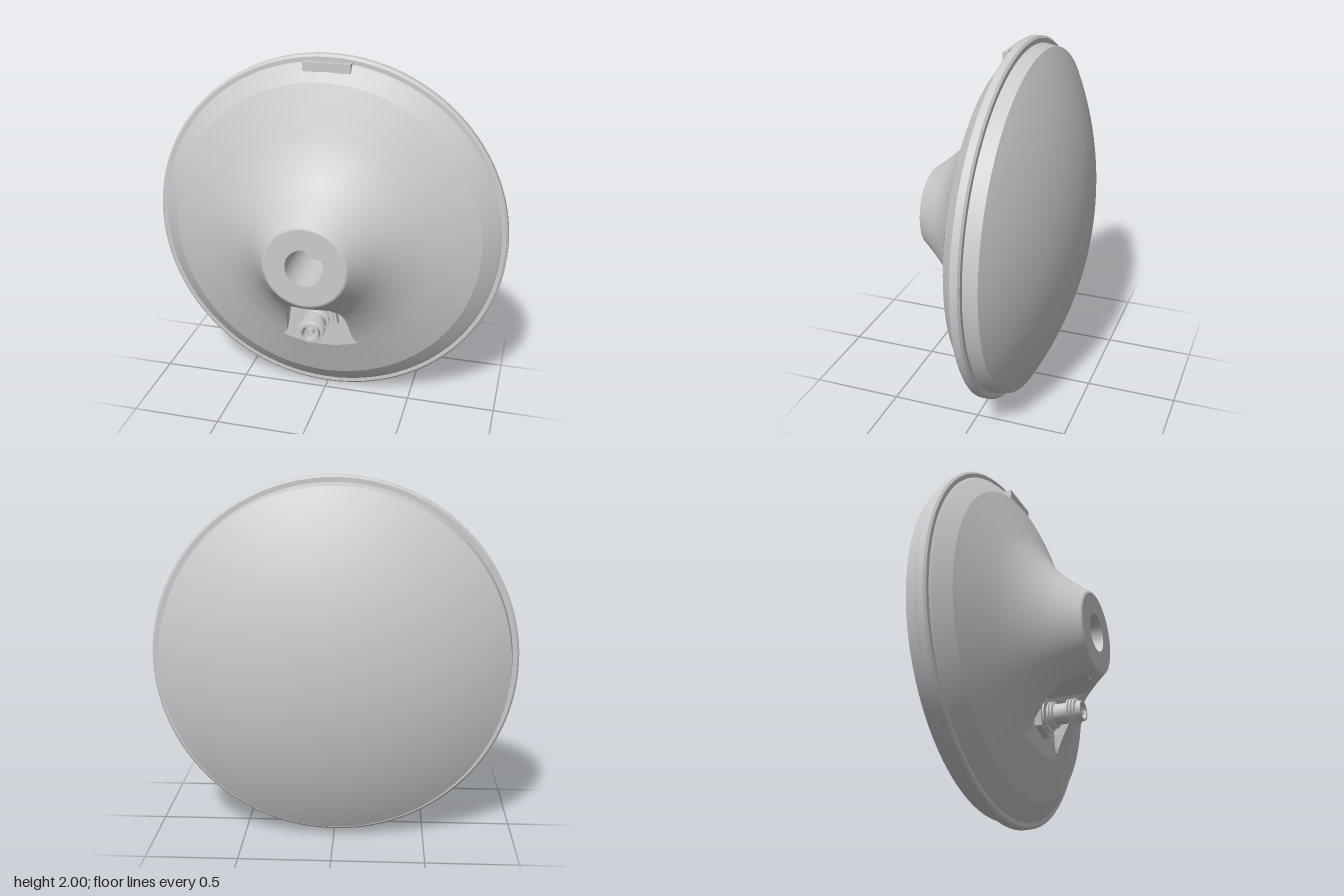
import * as THREE from 'three';
import { toCreasedNormals } from 'three/addons/utils/BufferGeometryUtils.js';

const SEG = 96;
const material = new THREE.MeshStandardMaterial({ color: 0xcccccc, side: THREE.DoubleSide });
const vec = ([x, y]) => new THREE.Vector2(x, y);

// Profile of [radius, z] pairs, listed back to front, turned about the z axis.
// Angle 0 points straight down.
function turned(points, segments = SEG, start = 0, sweep = Math.PI * 2) {
  return new THREE.LatheGeometry(points.map(vec), segments, start, sweep).rotateX(Math.PI / 2);
}

function add(group, name, geometry, x = 0, y = 0, z = 0) {
  const mesh = new THREE.Mesh(geometry, material);
  mesh.name = name;
  mesh.position.set(x, y, z);
  group.add(mesh);
  return mesh;
}

// Half of the pocket outline as [radius, half angle], from arch top to flared foot
const FLOOR_Z = 0.11;
const POCKET = [[0, 0.26], [0.06, 0.265], [0.11, 0.29], [0.15, 0.34], [0.17, 0.4],
  [0.18, 0.48], [0.19, 0.55], [0.2, 0.58], [0.222, 0.6]]
  .map(([x, d]) => [Math.hypot(x, d), Math.atan2(x, d)]);

function pocketAngle(r) {
  if (r <= POCKET[0][0]) return 0;
  for (let i = 1; i < POCKET.length; i++) {
    const [r0, a0] = POCKET[i - 1], [r1, a1] = POCKET[i];
    if (r <= r1) return a0 + (a1 - a0) * (r - r0) / (r1 - r0);
  }
  return POCKET[POCKET.length - 1][1];
}

// Flared neck, its rows squeezed around the body so that the pocket stays open
function neckGeometry(rows) {
  const geometry = new THREE.LatheGeometry(rows.map(vec), SEG);
  const { position, normal } = geometry.attributes;
  for (let i = 0; i < position.count; i++) {
    const column = Math.floor(i / rows.length);
    const r = rows[i % rows.length][0];
    const phi = column / SEG * Math.PI * 2;
    const a = pocketAngle(r);
    const angle = a + phi * (1 - a / Math.PI);
    const n = Math.hypot(normal.getX(i), normal.getZ(i));
    position.setXYZ(i, r * Math.sin(angle), position.getY(i), r * Math.cos(angle));
    normal.setXYZ(i, n * Math.sin(angle), normal.getY(i), n * Math.cos(angle));
  }
  return geometry.rotateX(Math.PI / 2);
}

function addPocket(group, rows) {
  const inner = rows.filter(([r]) => r > POCKET[0][0]).reverse();
  const right = inner.map(([r, z]) => {
    const a = pocketAngle(r);
    return [r * Math.sin(a), -r * Math.cos(a), z];
  });
  const left = right.map(([x, y, z]) => [-x, y, z]).reverse();
  const arch = [...left, [0, -POCKET[0][0], right[0][2]], ...right];

  // Wall between the cut edge of the shell and the floor
  const positions = [], index = [];
  arch.forEach(([x, y, z], i) => {
    positions.push(x, y, FLOOR_Z, x, y, z);
    if (i) index.push(2 * i - 2, 2 * i, 2 * i - 1, 2 * i - 1, 2 * i, 2 * i + 1);
  });
  const wall = new THREE.BufferGeometry();
  wall.setAttribute('position', new THREE.Float32BufferAttribute(positions, 3));
  wall.setIndex(index);
  wall.computeVertexNormals();
  add(group, 'pocketWall', wall);

  // Flat floor, closed by an arc where it runs out through the cone
  const outline = arch.map(vec);
  const [r0] = rows[0], a0 = pocketAngle(r0);
  for (let i = 1; i < 12; i++) {
    const a = a0 * (1 - i / 6);
    outline.push(new THREE.Vector2(r0 * Math.sin(a), -r0 * Math.cos(a)));
  }
  add(group, 'pocketFloor', new THREE.ShapeGeometry(new THREE.Shape(outline.reverse())), 0, 0, FLOOR_Z);
}

function createConnector() {
  const group = new THREE.Group();
  group.name = 'connector';
  const nut = new THREE.CylinderGeometry(0.118, 0.118, 0.04, 6).rotateX(Math.PI / 2).rotateZ(0.2);
  add(group, 'hexNut', toCreasedNormals(nut, 0.5), 0, 0, 0.02);
  add(group, 'washer', toCreasedNormals(turned([[0.09, 0.03], [0.09, 0.05], [0, 0.05]], 32), 0.5));

  // Barrel with two threaded bands and a hollow mouth
  const profile = [[0.055, 0.04]];
  const thread = (from, count) => {
    for (let i = 0; i < count; i++) {
      const z = from + i * 0.018;
      profile.push([0.058, z], [0.072, z + 0.004], [0.072, z + 0.012], [0.058, z + 0.016]);
    }
  };
  thread(0.055, 2);
  profile.push([0.055, 0.092], [0.055, 0.158]);
  thread(0.16, 3);
  profile.push([0.055, 0.215], [0.055, 0.24], [0.042, 0.24], [0.042, 0.15], [0, 0.15]);
  add(group, 'threadedBarrel', toCreasedNormals(turned(profile, 32), 0.5));
  add(group, 'contactSleeve', toCreasedNormals(
    turned([[0.022, 0.15], [0.022, 0.23], [0.01, 0.23], [0.01, 0.16], [0, 0.16]], 24), 0.5));
  return group;
}

function createTab() {
  const group = new THREE.Group();
  group.name = 'topTab';
  const rect = (Type, w, h) => new Type([[-w, -h], [w, -h], [w, h], [-w, h]].map(vec));
  const frame = rect(THREE.Shape, 0.13, 0.026);
  frame.holes.push(rect(THREE.Path, 0.11, 0.008));
  const geometry = new THREE.ExtrudeGeometry(frame, { depth: 0.05, bevelEnabled: false });
  add(group, 'slottedFrame', geometry.rotateX(-Math.PI / 2));
  add(group, 'slotFloor', new THREE.BoxGeometry(0.24, 0.03, 0.03), 0, 0.015, 0);
  return group;
}

export function createModel() {
  const model = new THREE.Group();
  model.name = 'dishAntenna';
  const body = new THREE.Group();
  body.name = 'body';
  body.position.y = 1;
  model.add(body);

  // Shallow spherical dome at the back
  const R = 1.964, edge = Math.asin(0.95 / R), dome = [];
  for (let i = 0; i <= 24; i++) {
    const a = edge * i / 24;
    dome.push([R * Math.sin(a), -0.435 + R * (1 - Math.cos(a))]);
  }
  add(body, 'dome', turned(dome));
  add(body, 'domeSkirt', turned([[0.95, -0.19], [0.963, -0.115]]));

  // Rim band with chamfered edges
  const rim = turned([[0.955, -0.116], [0.988, -0.116], [1, -0.106], [1, -0.068], [0.988, -0.058], [0.95, -0.058]]);
  add(body, 'rimBand', toCreasedNormals(rim, 0.4));

  // Front shell: chamfer, cone and flared neck
  add(body, 'frontChamfer', turned([[0.965, -0.058], [0.95, -0.042], [0.87, 0.02]]));
  add(body, 'frontCone', turned([[0.87, 0.02], [0.755, 0.065], [0.64, 0.11]]));
  const curve = new THREE.SplineCurve([[0.64, 0.11], [0.57, 0.14], [0.5, 0.177], [0.43, 0.222],
    [0.36, 0.28], [0.3, 0.345], [0.255, 0.4], [0.232, 0.43]].map(vec));
  const rows = curve.getSpacedPoints(70).map((p) => [p.x, p.y]);
  add(body, 'neck', neckGeometry(rows));
  addPocket(body, rows);

  // Rounded lip, end face and mounting bore
  add(body, 'neckLip', turned([[0.232, 0.43], [0.228, 0.435], [0.218, 0.438]]));
  add(body, 'neckFace', turned([[0.218, 0.438], [0.105, 0.438]]));
  add(body, 'bore', toCreasedNormals(turned([[0.105, 0.438], [0.105, 0.12], [0, 0.12]], 48), 0.5));

  // Thin label lying on the left side of the cone
  add(body, 'sideLabel', turned([[0.82, 0.041], [0.73, 0.077], [0.64, 0.112], [0.6, 0.129]], 16, Math.PI / 2 - 0.285, 0.57));

  const connector = createConnector();
  connector.position.set(0, -0.437, FLOOR_Z);
  body.add(connector);

  const tab = createTab();
  tab.position.set(0, 0.915, -0.043);
  body.add(tab);
  return model;
}
